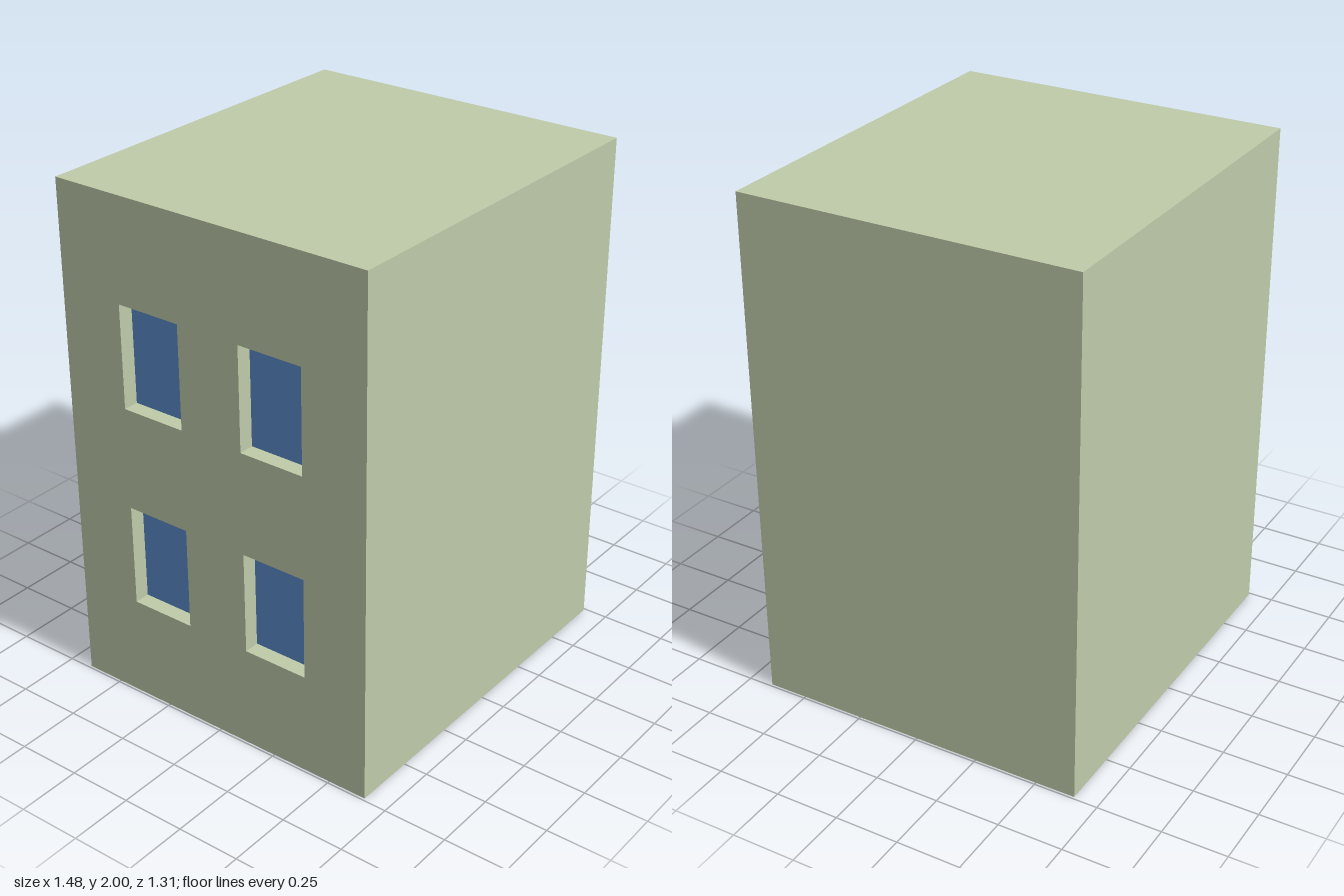
import * as THREE from 'three';

const W = 1.48, H = 2, D = 1.31;      // building block
const WIN_W = D / 5, WIN_H = 0.4, RECESS = 0.06;

// Box limited to chosen faces (0..5 = +x -x +y -y +z -z), optionally facing inward
function boxFaces(w, h, d, faces, inward = false) {
  const geo = new THREE.BoxGeometry(w, h, d);
  const all = Array.from(geo.index.array);
  const kept = faces.flatMap((f) => all.slice(f * 6, f * 6 + 6));
  geo.setIndex(inward ? kept.reverse() : kept);
  geo.clearGroups();
  const flat = geo.toNonIndexed();
  flat.computeVertexNormals();
  return flat;
}

export function createModel() {
  const model = new THREE.Group();
  model.name = 'building';
  const wall = new THREE.MeshStandardMaterial({ color: 0xbfcbaa });
  const glass = new THREE.MeshStandardMaterial({ color: 0x5d8dcd });

  const add = (name, geo, mat, x, y, z) => {
    const mesh = new THREE.Mesh(geo, mat);
    mesh.name = name;
    mesh.position.set(x, y, z);
    model.add(mesh);
  };

  // Plain walls, roof and floor
  add('plainWalls', boxFaces(W, H, D, [0, 2, 3, 4, 5]), wall, 0, H / 2, 0);

  // Window wall, drawn in (z, y), with a two by two grid of openings
  const facade = new THREE.Shape([
    new THREE.Vector2(-D / 2, 0), new THREE.Vector2(D / 2, 0),
    new THREE.Vector2(D / 2, H), new THREE.Vector2(-D / 2, H),
  ]);
  const reveal = boxFaces(RECESS, WIN_H, WIN_W, [2, 3, 4, 5], true);
  const pane = boxFaces(RECESS, WIN_H, WIN_W, [0], true);

  for (const y of [0.6, 1.4]) {
    for (const z of [-WIN_W, WIN_W]) {
      const a = WIN_W / 2, b = WIN_H / 2;
      facade.holes.push(new THREE.Path([
        new THREE.Vector2(z - a, y - b), new THREE.Vector2(z - a, y + b),
        new THREE.Vector2(z + a, y + b), new THREE.Vector2(z + a, y - b),
      ]));
      const x = -W / 2 + RECESS / 2;
      add('windowReveal', reveal, wall, x, y, z);
      add('windowPane', pane, glass, x, y, z);
    }
  }
  add('windowWall', new THREE.ShapeGeometry(facade).rotateY(-Math.PI / 2), wall, -W / 2, 0, 0);

  return model;
}
